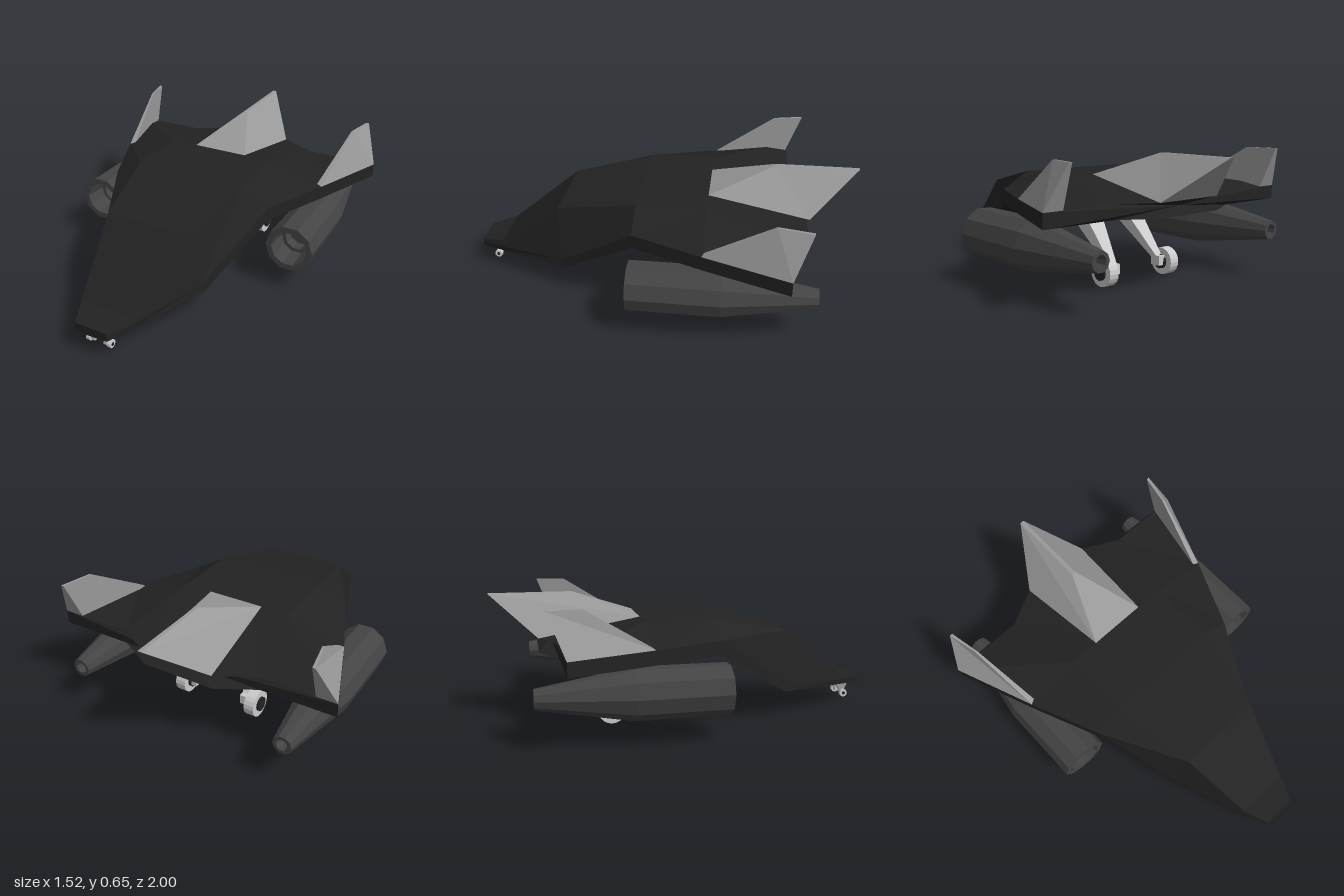
import * as THREE from 'three';

const material = (color) => new THREE.MeshStandardMaterial({ color, flatShading: true, side: THREE.DoubleSide });
const hullMat = material(0x222222);
const engineMat = material(0x444444);
const finMat = material(0x999999);
const gearMat = material(0xcccccc);
const hubMat = material(0x222222);

// Flat-shaded solid through rings of equal point count, each ring
// counter-clockwise as seen from the first ring's end, with capped ends.
function loft(rings) {
  const pos = [];
  const tri = (...pts) => pts.forEach((p) => pos.push(...p));
  const n = rings[0].length;
  const mean = (ring) => [0, 1, 2].map((k) => ring.reduce((s, p) => s + p[k], 0) / n);
  const first = rings[0], last = rings[rings.length - 1];
  for (let j = 0; j < n; j++) {
    const k = (j + 1) % n;
    for (let i = 0; i + 1 < rings.length; i++) {
      const a = rings[i], b = rings[i + 1];
      tri(a[j], b[j], b[k]);
      tri(a[j], b[k], a[k]);
    }
    tri(mean(first), first[j], first[k]);
    tri(mean(last), last[k], last[j]);
  }
  const g = new THREE.BufferGeometry();
  g.setAttribute('position', new THREE.Float32BufferAttribute(pos, 3));
  g.computeVertexNormals();
  return g;
}

const mirrorPoints = (pts) => pts.map(([x, y, z]) => [-x, y, z]).reverse();
const sided = (rings, s) => (s > 0 ? rings : rings.map(mirrorPoints));

// Horizontal rectangle, counter-clockwise seen from above
const rect = (x0, x1, y, zFront, zBack) => [
  [x0, y, zFront], [x1, y, zFront], [x1, y, zBack], [x0, y, zBack]];

function add(parent, name, geometry, mat, x = 0, y = 0, z = 0) {
  const mesh = new THREE.Mesh(geometry, mat);
  mesh.name = name;
  mesh.position.set(x, y, z);
  parent.add(mesh);
  return mesh;
}

const disc = (r, width, sides) => new THREE.CylinderGeometry(r, r, width, sides).rotateZ(Math.PI / 2);

export function createModel() {
  const model = new THREE.Group();
  model.name = 'spacecraft';

  // Hull half sections, nose to tail: inner, middle and outer bottom, chine, middle and inner top
  const halves = [
    [[0.03, 0.10, 1], [0.06, 0.10, 1], [0.09, 0.105, 1], [0.09, 0.13, 1], [0.085, 0.145, 1], [0.04, 0.145, 1]],
    [[0.04, 0.105, 0.87], [0.1, 0.105, 0.87], [0.145, 0.112, 0.87], [0.15, 0.14, 0.87], [0.14, 0.172, 0.87], [0.05, 0.172, 0.87]],
    [[0.09, 0.125, 0.49], [0.2, 0.125, 0.49], [0.3, 0.13, 0.49], [0.29, 0.175, 0.5], [0.22, 0.442, 0.52], [0.1, 0.442, 0.52]],
    [[0.1, 0.375, 0.1], [0.3, 0.375, 0.1], [0.45, 0.375, 0.1], [0.45, 0.445, 0.1], [0.3, 0.53, 0.1], [0.1, 0.53, 0.1]],
    [[0.1, 0.375, -0.25], [0.3, 0.375, -0.25], [0.6, 0.375, -0.25], [0.6, 0.445, -0.25], [0.3, 0.53, -0.25], [0.1, 0.53, -0.25]],
    [[0.19, 0.375, -0.76], [0.38, 0.375, -0.66], [0.76, 0.375, -0.66], [0.76, 0.445, -0.66], [0.38, 0.445, -0.66], [0.19, 0.445, -0.76]],
  ];
  add(model, 'hull', loft(halves.map((h) => [...h, ...mirrorPoints(h)])), hullMat);

  // Central tail fin, overhanging the back
  add(model, 'centreFin', loft([
    rect(-0.01, 0.01, 0.65, -0.58, -1),
    [[-0.15, 0.53, -0.25], [0.15, 0.53, -0.25], [0.19, 0.445, -0.76], [-0.19, 0.445, -0.76]],
  ]), finMat);

  // Bay plates under the hull
  add(model, 'mainGearBay', new THREE.BoxGeometry(0.58, 0.012, 0.34), gearMat, 0, 0.37, -0.07);
  add(model, 'noseGearBay', new THREE.BoxGeometry(0.15, 0.008, 0.09), gearMat, 0, 0.101, 0.91);

  for (const s of [1, -1]) {
    const side = new THREE.Group();
    side.name = s > 0 ? 'leftSide' : 'rightSide';
    model.add(side);

    // Wing tip fin
    add(side, 'wingFin', loft(sided([
      [[0.637, 0.65, -0.58], [0.647, 0.65, -0.58], [0.685, 0.65, -0.74], [0.67, 0.65, -0.74]],
      [[0.57, 0.445, -0.25], [0.6, 0.445, -0.25], [0.76, 0.445, -0.66], [0.655, 0.445, -0.66]],
    ], s)), finMat);

    // Ten-sided engine with a recessed intake and nozzle
    const profile = [[0, -0.74], [0.028, -0.74], [0.03, -0.8], [0.048, -0.8], [0.125, -0.35],
      [0.125, 0.1], [0.095, 0.1], [0.085, -0.02], [0.065, -0.02], [0.065, -0.08], [0, -0.08]];
    const engine = new THREE.LatheGeometry(
      profile.map(([r, z]) => new THREE.Vector2(r, z)), 10, Math.PI / 10).rotateX(Math.PI / 2);
    add(side, 'engine', engine, engineMat, s * 0.57, 0.241, 0);

    // Main landing gear: tapered leg, axle block, wheel and hub
    add(side, 'mainLeg', loft(sided([
      rect(0.07, 0.19, 0.372, -0.05, -0.2),
      rect(0.14, 0.175, 0.085, -0.39, -0.43),
    ], s)), gearMat);
    add(side, 'mainAxleBlock', new THREE.BoxGeometry(0.04, 0.05, 0.06), gearMat, s * 0.155, 0.08, -0.41);
    add(side, 'mainWheel', disc(0.07, 0.055, 20), gearMat, s * 0.207, 0.07, -0.41);
    add(side, 'mainHub', disc(0.038, 0.08, 12), hubMat, s * 0.205, 0.07, -0.41);

    // Nose landing gear
    add(side, 'noseLeg', loft(sided([
      rect(0.004, 0.07, 0.102, 0.95, 0.88),
      rect(0.033, 0.043, 0.035, 0.94, 0.925),
    ], s)), gearMat);
    add(side, 'noseAxleBlock', new THREE.BoxGeometry(0.025, 0.022, 0.022), gearMat, s * 0.036, 0.038, 0.932);
    add(side, 'noseWheel', disc(0.021, 0.02, 14), gearMat, s * 0.057, 0.036, 0.932);
    add(side, 'noseHub', disc(0.009, 0.024, 10), hubMat, s * 0.057, 0.036, 0.932);
  }
  return model;
}
